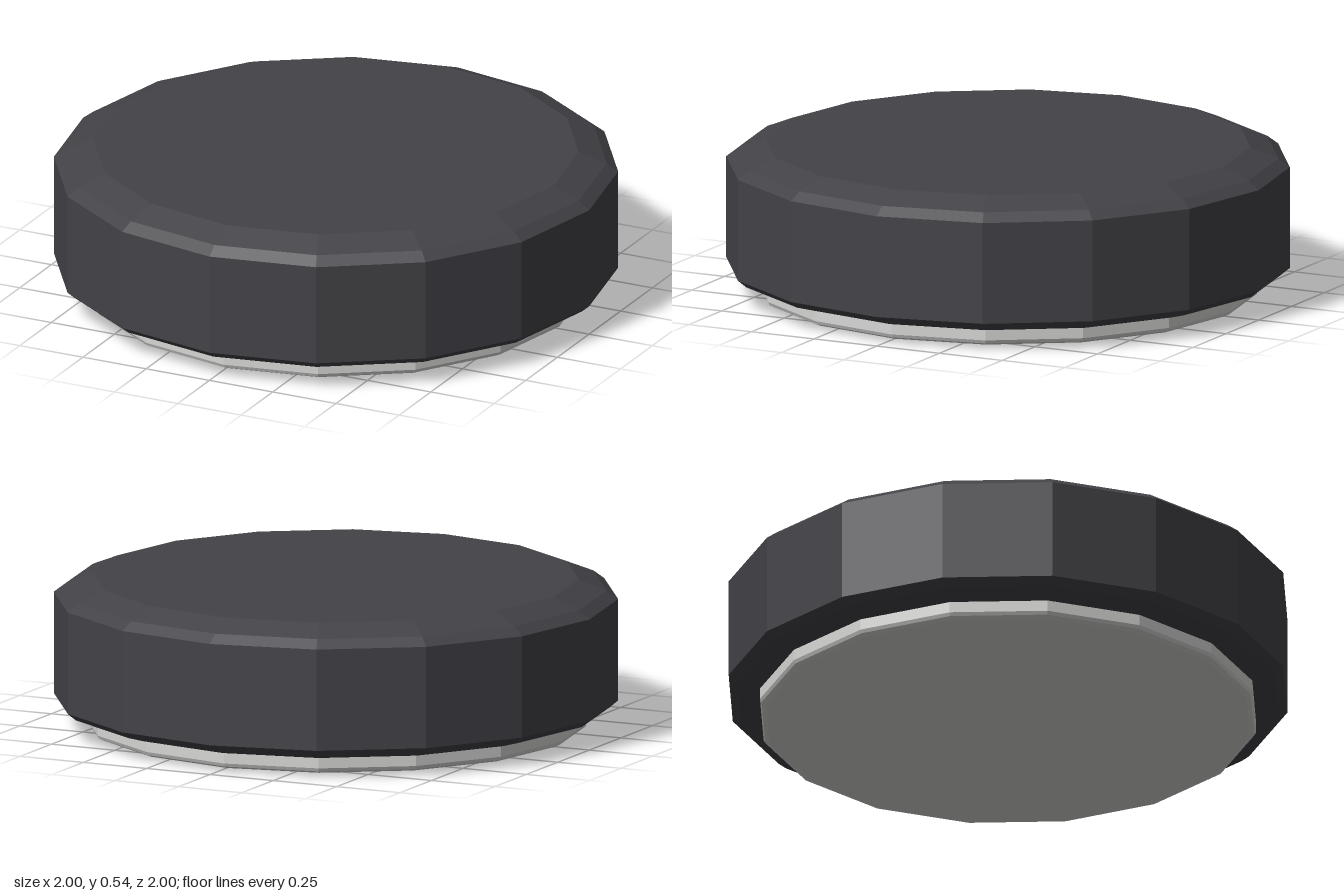
import * as THREE from 'three';

const SIDES = 16;

// Closed faceted disc turned from a profile of [radius, height], bottom to top
function turnedDisc(name, profile, material) {
  const points = profile.map(([r, y]) => new THREE.Vector2(r, y));
  const mesh = new THREE.Mesh(new THREE.LatheGeometry(points, SIDES), material);
  mesh.name = name;
  return mesh;
}

export function createModel() {
  const group = new THREE.Group();
  group.name = 'puck';

  const charcoal = new THREE.MeshStandardMaterial({ color: 0x434247, flatShading: true });
  charcoal.name = 'charcoal';
  const lightGrey = new THREE.MeshStandardMaterial({ color: 0xd6d7d5, flatShading: true });
  lightGrey.name = 'lightGrey';

  // Thick body with bevelled rims
  group.add(turnedDisc('body', [
    [0, 0.06], [0.9, 0.06], [0.97, 0.08], [1, 0.105],
    [1, 0.47], [0.96, 0.5], [0.86, 0.54], [0, 0.54],
  ], charcoal));

  // Thin foot plate underneath
  group.add(turnedDisc('footPlate', [
    [0, 0], [0.865, 0], [0.882, 0.008], [0.888, 0.02], [0.888, 0.065], [0, 0.065],
  ], lightGrey));

  return group;
}
